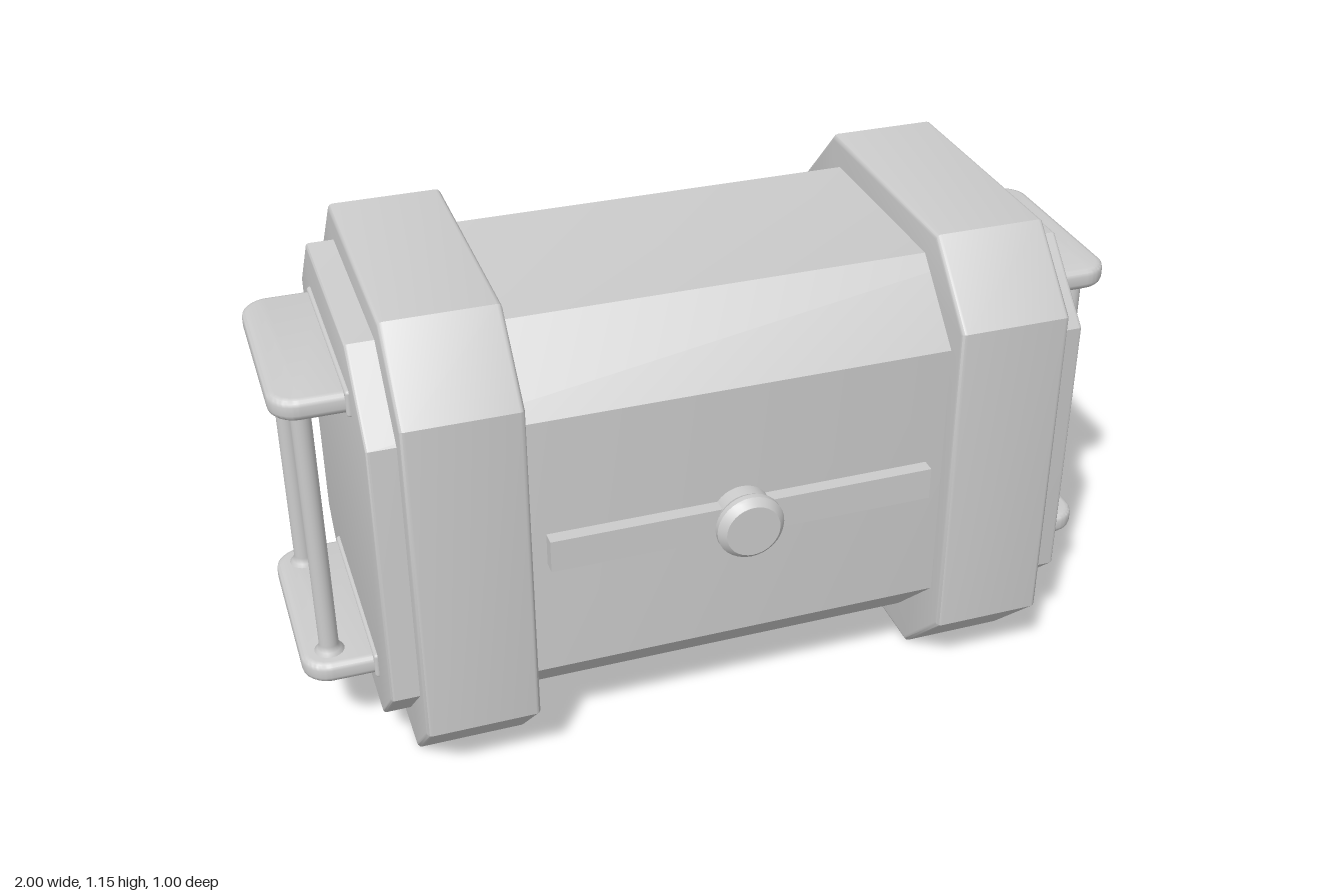
import * as THREE from 'three';
import { toCreasedNormals } from 'three/addons/utils/BufferGeometryUtils.js';
import { RoundedBoxGeometry } from 'three/addons/geometries/RoundedBoxGeometry.js';

const CENTRE_Y = 0.58;

export function createModel() {
  const model = new THREE.Group();
  const material = new THREE.MeshStandardMaterial({ color: 0xcccccc });

  const add = (name, geometry, parent = model) => {
    const mesh = new THREE.Mesh(geometry, material);
    mesh.name = name;
    parent.add(mesh);
    return mesh;
  };

  // Extrusion with rounded edges that stays inside the given outline and depth
  const softExtrude = (shape, depth, bevel) => toCreasedNormals(new THREE.ExtrudeGeometry(shape, {
    depth: depth - 2 * bevel, bevelEnabled: true, bevelSize: bevel, bevelThickness: bevel,
    bevelOffset: -bevel, bevelSegments: 3, curveSegments: 8,
  }).translate(0, 0, bevel), 0.6);

  // Chamfered rectangle section running along x, centred on x
  const octagonPrism = (halfZ, bottom, top, chamfer, chamferY, length, bevel) => {
    const z = halfZ - chamfer;
    const shape = new THREE.Shape([
      [-z, bottom], [z, bottom], [halfZ, bottom + chamferY], [halfZ, top - chamferY],
      [z, top], [-z, top], [-halfZ, top - chamferY], [-halfZ, bottom + chamferY],
    ].map(([a, b]) => new THREE.Vector2(a, b)));
    return softExtrude(shape, length, bevel).translate(0, 0, -length / 2).rotateY(Math.PI / 2);
  };

  // Main body
  add('body', octagonPrism(0.417, 0.085, 1.085, 0.167, 0.167, 1.664, 0.008));

  // Raised end bands
  const bandGeometry = octagonPrism(0.467, 0, 1.152, 0.167, 0.17, 0.267, 0.012);
  for (const side of [-1, 1]) {
    add(side > 0 ? 'leftBand' : 'rightBand', bandGeometry).position.x = side * 0.633;
  }

  // Clasp on front and back: flat bar with a round knob
  const knobProfile = [[0, 0.38], [0.07, 0.38], [0.07, 0.452], [0.08, 0.468], [0.08, 0.482], [0.076, 0.489], [0.064, 0.5], [0, 0.5]]
    .map(([r, z]) => new THREE.Vector2(r, z));
  const knobGeometry = toCreasedNormals(new THREE.LatheGeometry(knobProfile, 32).rotateX(Math.PI / 2), 0.5);
  for (const front of [true, false]) {
    const clasp = new THREE.Group();
    clasp.name = front ? 'frontClasp' : 'backClasp';
    clasp.position.y = 0.588;
    clasp.rotation.y = front ? 0 : Math.PI;
    add('claspBar', new THREE.BoxGeometry(0.914, 0.08, 0.07), clasp).position.z = 0.415;
    add('claspKnob', knobGeometry, clasp);
    model.add(clasp);
  }

  // Handle bracket outline, seen from above, with rounded outer corners
  const bracket = new THREE.Shape();
  bracket.moveTo(0.8, -0.25);
  bracket.lineTo(0.935, -0.25);
  bracket.absarc(0.935, -0.185, 0.065, -Math.PI / 2, 0, false);
  bracket.lineTo(1, 0.185);
  bracket.absarc(0.935, 0.185, 0.065, 0, Math.PI / 2, false);
  bracket.lineTo(0.8, 0.25);
  bracket.closePath();
  const bracketGeometry = softExtrude(bracket, 0.052, 0.016).translate(0, 0, -0.026).rotateX(-Math.PI / 2);

  // Post with a slight flare at each end
  const postProfile = [[0.036, -0.34], [0.036, -0.331], [0.028, -0.323], [0.023, -0.31],
    [0.023, 0.31], [0.028, 0.323], [0.036, 0.331], [0.036, 0.34]].map(([r, y]) => new THREE.Vector2(r, y));
  const postGeometry = new THREE.LatheGeometry(postProfile, 20);

  // End handles: two brackets joined by two posts
  for (const side of [-1, 1]) {
    const handle = new THREE.Group();
    handle.name = side > 0 ? 'leftHandle' : 'rightHandle';
    handle.rotation.y = side > 0 ? 0 : Math.PI;
    for (const y of [0.229, 0.941]) {
      add('handleBracket', bracketGeometry, handle).position.y = y;
      // Thickened root where the bracket meets the body
      add('bracketRoot', new RoundedBoxGeometry(0.02, 0.066, 0.512, 3, 0.008), handle).position.set(0.831, y, 0);
    }
    for (const z of [-0.185, 0.185]) {
      add('handlePost', postGeometry, handle).position.set(0.932, CENTRE_Y + 0.005, z);
    }
    model.add(handle);
  }

  return model;
}
